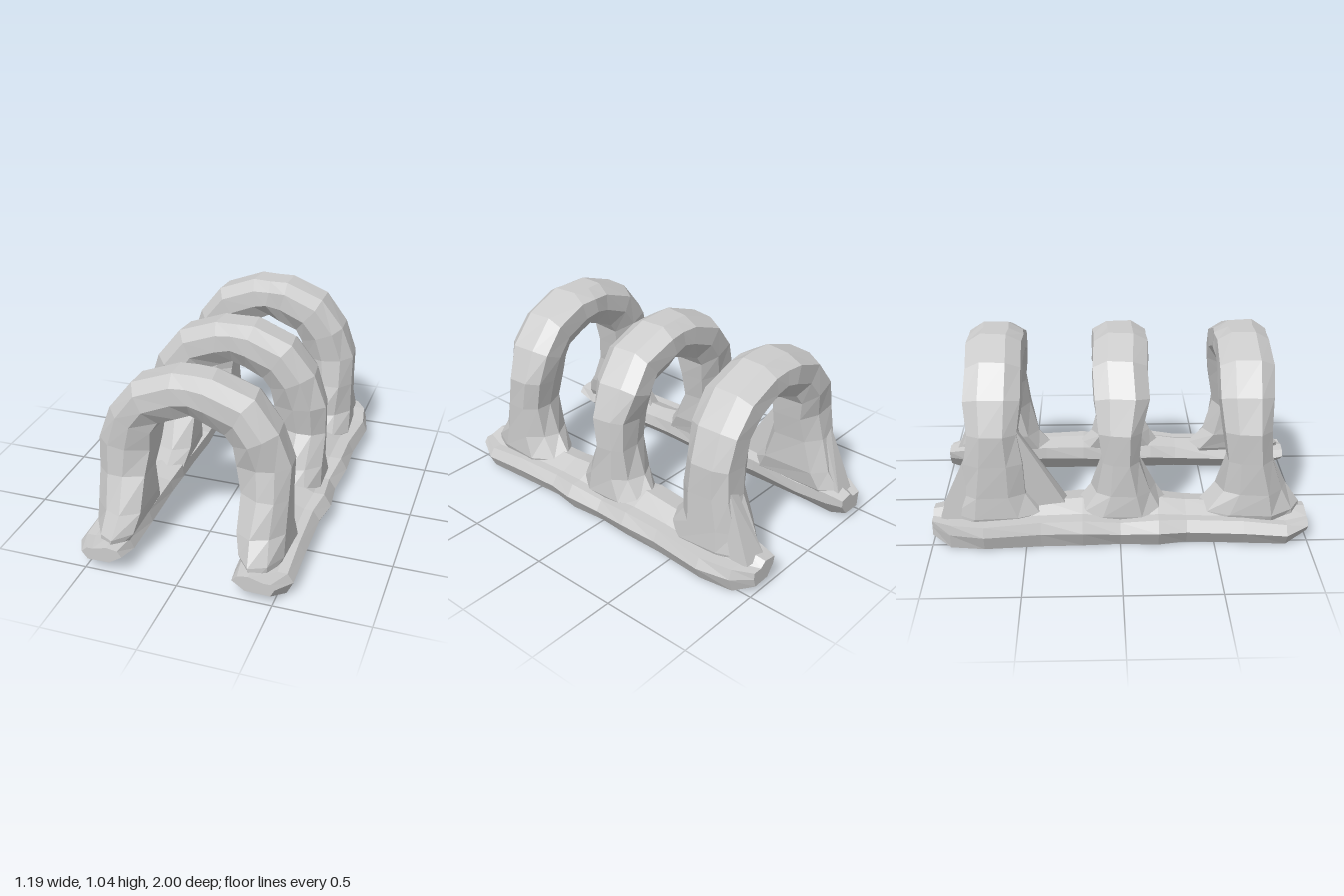
import * as THREE from 'three';
import { ConvexGeometry } from 'three/addons/geometries/ConvexGeometry.js';

const material = new THREE.MeshStandardMaterial({ color: 0xcccccc, flatShading: true });

// Skin a closed tube over rings of equal point count, with both ends capped
function loft(rings) {
  const n = rings[0].length;
  const pos = rings.flat().flatMap(p => [p.x, p.y, p.z]);
  const index = [];
  for (let r = 0; r < rings.length - 1; r++) {
    for (let i = 0; i < n; i++) {
      const a = r * n + i, b = r * n + (i + 1) % n;
      index.push(a, b, b + n, a, b + n, a + n);
    }
  }
  const last = (rings.length - 1) * n;
  for (let i = 1; i < n - 1; i++) {
    index.push(0, i + 1, i);
    index.push(last, last + i, last + i + 1);
  }
  const geo = new THREE.BufferGeometry();
  geo.setAttribute('position', new THREE.Float32BufferAttribute(pos, 3));
  geo.setIndex(index);
  const flat = geo.toNonIndexed();
  flat.computeVertexNormals();
  return flat;
}

function addMesh(group, geo, name) {
  const mesh = new THREE.Mesh(geo, material);
  mesh.name = name;
  group.add(mesh);
}

// Small repeatable unevenness for the hand-hewn look
const wobble = (a, b) => 0.009 * Math.sin(a * 12.9 + b * 78.2);

// Half arch, foot to crown: outer x, y and inner x, y
const ARCH = [
  [0.48, 0.08, 0.33, 0.09],
  [0.505, 0.16, 0.28, 0.18],
  [0.50, 0.28, 0.255, 0.28],
  [0.50, 0.46, 0.25, 0.46],
  [0.50, 0.63, 0.225, 0.60],
  [0.435, 0.81, 0.21, 0.71],
  [0.31, 0.97, 0.17, 0.77],
  [0.10, 1.05, 0.07, 0.815],
  [0, 1.05, 0, 0.845],
];
const CROWN = ARCH.length - 1;
// Section corners: share of the way from outer to inner, share of half depth
const SECTION = [[0.6, 1], [0.2, 0.97], [0, 0.45], [0, -0.45], [0.2, -0.97], [0.6, -1], [1, -0.6], [1, 0.6]];
// The same at the splayed foot, drawn to a ridge front and back
const FOOT_SECTION = [[0.65, 1], [0.25, 0.82], [0, 0.4], [0, -0.4], [0.25, -0.82], [0.65, -1], [1, -0.7], [1, 0.7]];

// Front and back z of each arch at the foot stations, then constant above
const ARCHES = [
  { name: 'frontArch', z: [[0.97, 0.40], [0.97, 0.42], [0.89, 0.51], [0.81, 0.57], [0.79, 0.54]], top: [0.81, 0.52] },
  { name: 'middleArch', z: [[0.30, -0.28], [0.27, -0.25], [0.19, -0.15], [0.10, -0.10], [0.12, -0.11]], top: [0.155, -0.14] },
  { name: 'backArch', z: [[-0.36, -0.95], [-0.38, -0.94], [-0.46, -0.88], [-0.51, -0.82], [-0.53, -0.80]], top: [-0.51, -0.81] },
];

function archGeometry({ z, top }, seed) {
  const ring = (station, side) => {
    const [ox, oy, ix, iy] = ARCH[station];
    const [front, back] = z[station] ?? top;
    return (station < 3 ? FOOT_SECTION : SECTION).map(([t, s], i) => new THREE.Vector3(
      side * THREE.MathUtils.lerp(ox, ix, t) + wobble(station * side + seed, i),
      THREE.MathUtils.lerp(oy, iy, t),
      (front + back) / 2 + s * (front - back) / 2 + wobble(i, station * side + seed) * 0.6));
  };
  const steps = ARCH.map((_, i) => i);
  return loft([...steps.map(i => ring(i, 1)), ...steps.slice(0, CROWN).reverse().map(i => ring(i, -1))]);
}

// Ground rail stations: z, inner x, outer x, bottom y, top y
const RAIL = [
  [-1.00, 0.31, 0.48, 0.05, 0.165],
  [-0.90, 0.29, 0.55, 0.005, 0.19],
  [-0.72, 0.27, 0.59, 0.01, 0.19],
  [-0.42, 0.27, 0.57, 0.01, 0.21],
  [-0.20, 0.25, 0.58, 0.015, 0.22],
  [0.00, 0.27, 0.56, 0.01, 0.19],
  [0.20, 0.26, 0.585, 0.015, 0.22],
  [0.35, 0.27, 0.56, 0.02, 0.20],
  [0.65, 0.27, 0.565, 0.01, 0.19],
  [0.88, 0.28, 0.57, 0.005, 0.16],
  [1.00, 0.30, 0.51, 0.06, 0.15],
];
// Section corners as shares of the rail's width and height
const RAIL_SECTION = [[0.3, 0.03], [0.9, 0], [1, 0.45], [0.93, 0.76], [0.7, 0.76], [0.4, 1], [0.05, 0.9], [0, 0.55]];

function railGeometry(side) {
  return loft(RAIL.map(([z, xi, xo, y0, y1], r) => {
    const ring = RAIL_SECTION.map(([u, v], i) => new THREE.Vector3(
      side * (THREE.MathUtils.lerp(xi, xo, u) + wobble(r + side, i)),
      THREE.MathUtils.lerp(y0, y1, v), z));
    return side > 0 ? ring : ring.reverse();
  }));
}

export function createModel() {
  const group = new THREE.Group();
  group.name = 'tripleArch';

  ARCHES.forEach((arch, i) => addMesh(group, archGeometry(arch, i * 3), arch.name));

  addMesh(group, railGeometry(1), 'leftRail');
  addMesh(group, railGeometry(-1), 'rightRail');

  // Web bracing the right leg of the back arch
  const web = [
    [-0.44, 0.66, -0.55], [-0.36, 0.62, -0.54],
    [-0.41, 0.18, -0.28], [-0.34, 0.20, -0.28],
    [-0.44, 0.12, -0.65], [-0.33, 0.12, -0.65],
  ].map(p => new THREE.Vector3(...p));
  addMesh(group, new ConvexGeometry(web), 'backLegWeb');

  // Sloping buttresses behind the back legs
  for (const side of [1, -1]) {
    const buttress = [
      [0.44, 0.52, -0.80], [0.38, 0.48, -0.81],
      [0.47, 0.15, -0.95], [0.34, 0.15, -0.96],
      [0.48, 0.10, -0.70], [0.33, 0.10, -0.70],
    ].map(([x, y, z]) => new THREE.Vector3(side * x, y, z));
    addMesh(group, new ConvexGeometry(buttress), side > 0 ? 'leftButtress' : 'rightButtress');
  }
  return group;
}
